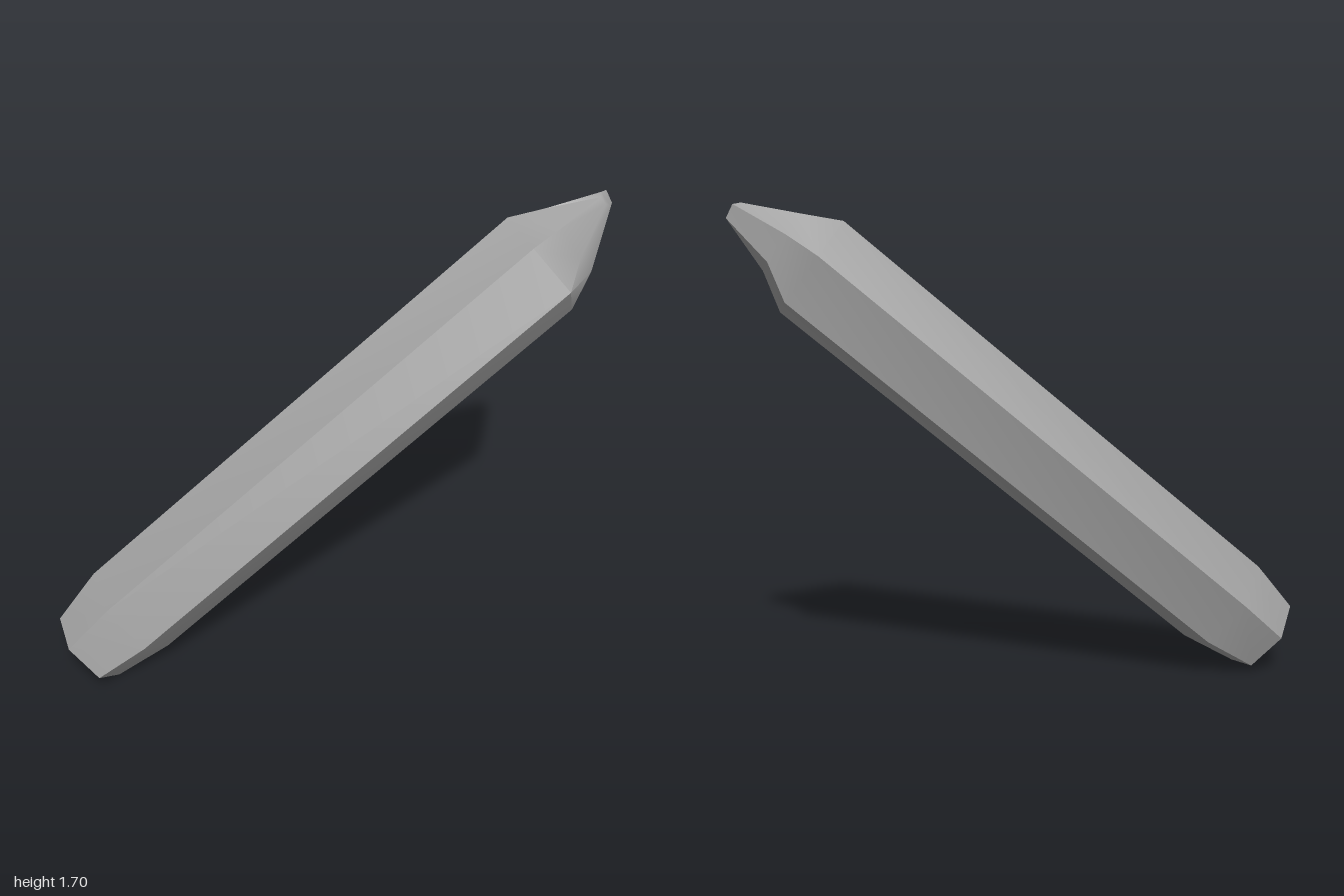
import * as THREE from 'three';
import { toCreasedNormals } from 'three/addons/utils/BufferGeometryUtils.js';

const V = (x, y, z) => new THREE.Vector3(x, y, z);

// Long axis of the shard, and two directions spanning its hexagonal section
const axis = V(1.482, 1.25, -0.115).normalize();
const up = V(-0.62, 0.735, -0.27);
up.addScaledVector(axis, -up.dot(axis)).normalize();
const side = axis.clone().cross(up);

// Regular hexagon around the axis; slide shifts single corners along it
function hexRing(center, radius, slide = [0, 0, 0, 0, 0, 0]) {
  return slide.map((s, i) => {
    const a = (i * Math.PI) / 3;
    return center.clone()
      .addScaledVector(up, radius * Math.cos(a))
      .addScaledVector(side, radius * Math.sin(a))
      .addScaledVector(axis, s);
  });
}

// Skin a list of six-cornered rings and close both ends
function loft(rings, crease) {
  const pos = [];
  const tri = (...pts) => pts.forEach((p) => pos.push(p.x, p.y, p.z));
  for (let k = 0; k < rings.length - 1; k++) {
    const a = rings[k], b = rings[k + 1];
    for (let i = 0; i < 6; i++) {
      const j = (i + 1) % 6;
      tri(a[i], a[j], b[j]);
      tri(a[i], b[j], b[i]);
    }
  }
  const first = rings[0], last = rings[rings.length - 1];
  for (let i = 1; i < 5; i++) {
    tri(first[0], first[i + 1], first[i]);
    tri(last[0], last[i], last[i + 1]);
  }
  const geo = new THREE.BufferGeometry();
  geo.setAttribute('position', new THREE.Float32BufferAttribute(pos, 3));
  return toCreasedNormals(geo, crease);
}

export function createModel() {
  const group = new THREE.Group();
  group.name = 'crystalShard';
  const stone = new THREE.MeshStandardMaterial({ color: 0xa3a3a3 });
  stone.name = 'grey stone';

  // Narrow foot, shoulder and far end of the straight shaft
  const foot = hexRing(V(-0.9, 0.114, 0.075), 0.155);
  const shoulder = hexRing(V(-0.737, 0.25, 0.05), 0.195);
  const neck = hexRing(V(0.745, 1.5, -0.065), 0.195, [0, 0, 0, -0.035, -0.015, 0]);

  // Off-centre point with a bulge on the underside
  const bulge = [
    V(0.752, 1.664, -0.123), V(0.77, 1.64, -0.005), V(0.84, 1.545, 0.026),
    V(0.895, 1.476, -0.01), V(0.87, 1.51, -0.19), V(0.81, 1.6, -0.212),
  ];
  const tip = [
    V(0.95, 1.7, -0.15), V(0.945, 1.685, -0.14), V(0.965, 1.66, -0.135),
    V(0.99, 1.645, -0.155), V(0.998, 1.65, -0.168), V(0.975, 1.695, -0.175),
  ];

  const shard = new THREE.Mesh(loft([foot, shoulder, neck, bulge, tip], 0.75), stone);
  shard.name = 'shard';
  group.add(shard);
  return group;
}
